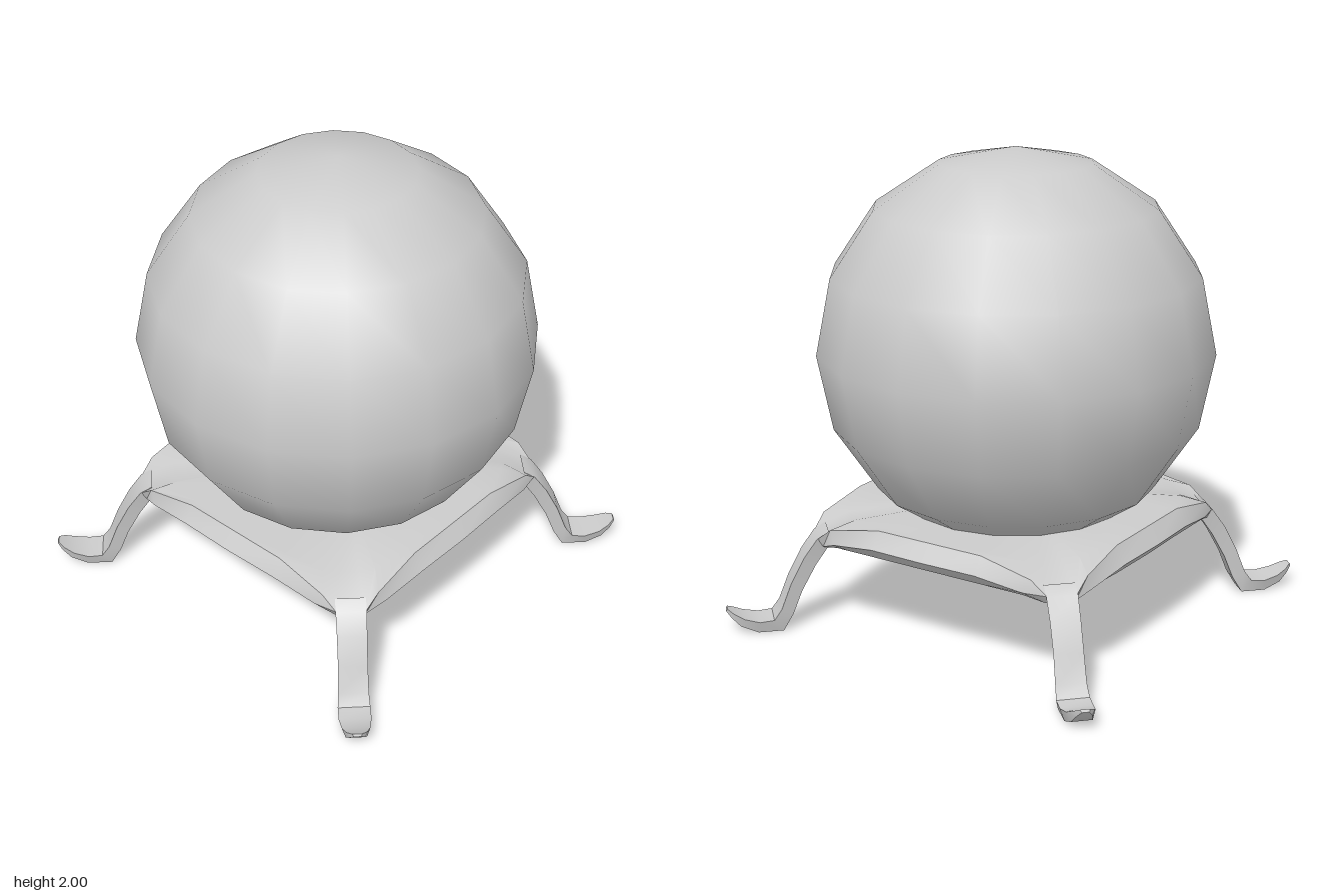
import * as THREE from 'three';
import { toCreasedNormals } from 'three/addons/utils/BufferGeometryUtils.js';

const material = new THREE.MeshStandardMaterial({ color: 0xcccccc });

// Skin a list of closed cross-sections; the last one is capped.
function loft(rings, crease) {
  const n = rings[0].length;
  const index = [];
  for (let i = 0; i < rings.length - 1; i++) {
    for (let j = 0; j < n; j++) {
      const k = (j + 1) % n;
      const a = i * n + j, b = i * n + k, c = b + n, d = a + n;
      index.push(a, b, c, a, c, d);
    }
  }
  const last = (rings.length - 1) * n;
  for (let k = 1; k < n - 1; k++) index.push(last, last + k, last + k + 1);
  const geometry = new THREE.BufferGeometry();
  geometry.setAttribute('position', new THREE.Float32BufferAttribute(rings.flat(2), 3));
  geometry.setIndex(index);
  return toCreasedNormals(geometry, crease);
}

// Mirror an eighth of a loop over the diagonal, then repeat it four times.
function fourfold(eighth) {
  const mirrored = eighth.slice(1).reverse().map(([x, y, z]) => [z, y, x]);
  const quarter = [...eighth, ...mirrored];
  const loop = [];
  for (let q = 0; q < 4; q++) {
    const c = Math.round(Math.cos(q * Math.PI / 2)), s = Math.round(Math.sin(q * Math.PI / 2));
    for (const [x, y, z] of quarter) loop.push([x * c - z * s, y, x * s + z * c]);
  }
  return loop;
}

function cradleGeometry() {
  // Each row runs from the middle of a side to the root of a leg.
  const edge = [[0.64, 0.5, 0], [0.64, 0.5, 0.25], [0.65, 0.455, 0.49], [0.645, 0.4, 0.56]];
  const circle = (r, y) => fourfold(edge.map(([x, , z]) => {
    const a = Math.atan2(z, x);
    return [r * Math.cos(a), y, r * Math.sin(a)];
  }));
  return loft([
    circle(0.45, 0.5),
    fourfold([[0.6, 0.5, 0], [0.6, 0.5, 0.24], [0.57, 0.49, 0.42], [0.53, 0.475, 0.47]]),
    fourfold(edge),
    fourfold([[0.69, 0.43, 0], [0.685, 0.43, 0.25], [0.665, 0.4, 0.46], [0.63, 0.365, 0.545]]),
    fourfold([[0.65, 0.385, 0], [0.64, 0.38, 0.24], [0.61, 0.365, 0.43], [0.58, 0.35, 0.51]]),
    circle(0.6, 0.36),
    circle(0.5, 0.31),
    circle(0.28, 0.272),
    circle(0.02, 0.26),
  ], 0.6);
}

function legGeometry() {
  // outer x, outer y, inner x, inner y, half width (x is measured along one axis of the diagonal)
  const stations = [
    [0.57, 0.43, 0.55, 0.36, 0.062],
    [0.605, 0.4, 0.575, 0.352, 0.063],
    [0.645, 0.32, 0.61, 0.28, 0.061],
    [0.685, 0.21, 0.652, 0.17, 0.06],
    [0.715, 0.1, 0.68, 0.07, 0.062],
    [0.738, 0.055, 0.71, 0, 0.066],
    [0.78, 0.05, 0.785, 0, 0.066],
    [0.825, 0.066, 0.835, 0.03, 0.057],
    [0.855, 0.088, 0.862, 0.068, 0.042],
    [0.872, 0.103, 0.876, 0.093, 0.02],
  ];
  return loft(stations.map(([ox, oy, ix, iy, w]) => {
    const o = ox * Math.SQRT2, i = ix * Math.SQRT2;
    return [[o, oy, -w], [o, oy, w], [i, iy, w * 0.75], [i, iy, -w * 0.75]];
  }), 0.75);
}

export function createModel() {
  const group = new THREE.Group();
  const add = (name, geometry) => {
    const mesh = new THREE.Mesh(geometry, material);
    mesh.name = name;
    group.add(mesh);
    return mesh;
  };

  // Ball resting in the stand
  add('ball', new THREE.SphereGeometry(0.83, 16, 8)).position.y = 1.17;

  // Dished stand with a bulging rim
  add('cradle', cradleGeometry());

  // Four legs with upturned feet on the diagonals
  const leg = legGeometry();
  ['frontLeftLeg', 'backLeftLeg', 'backRightLeg', 'frontRightLeg'].forEach((name, i) => {
    add(name, leg).rotation.y = -Math.PI / 4 + i * Math.PI / 2;
  });
  return group;
}
